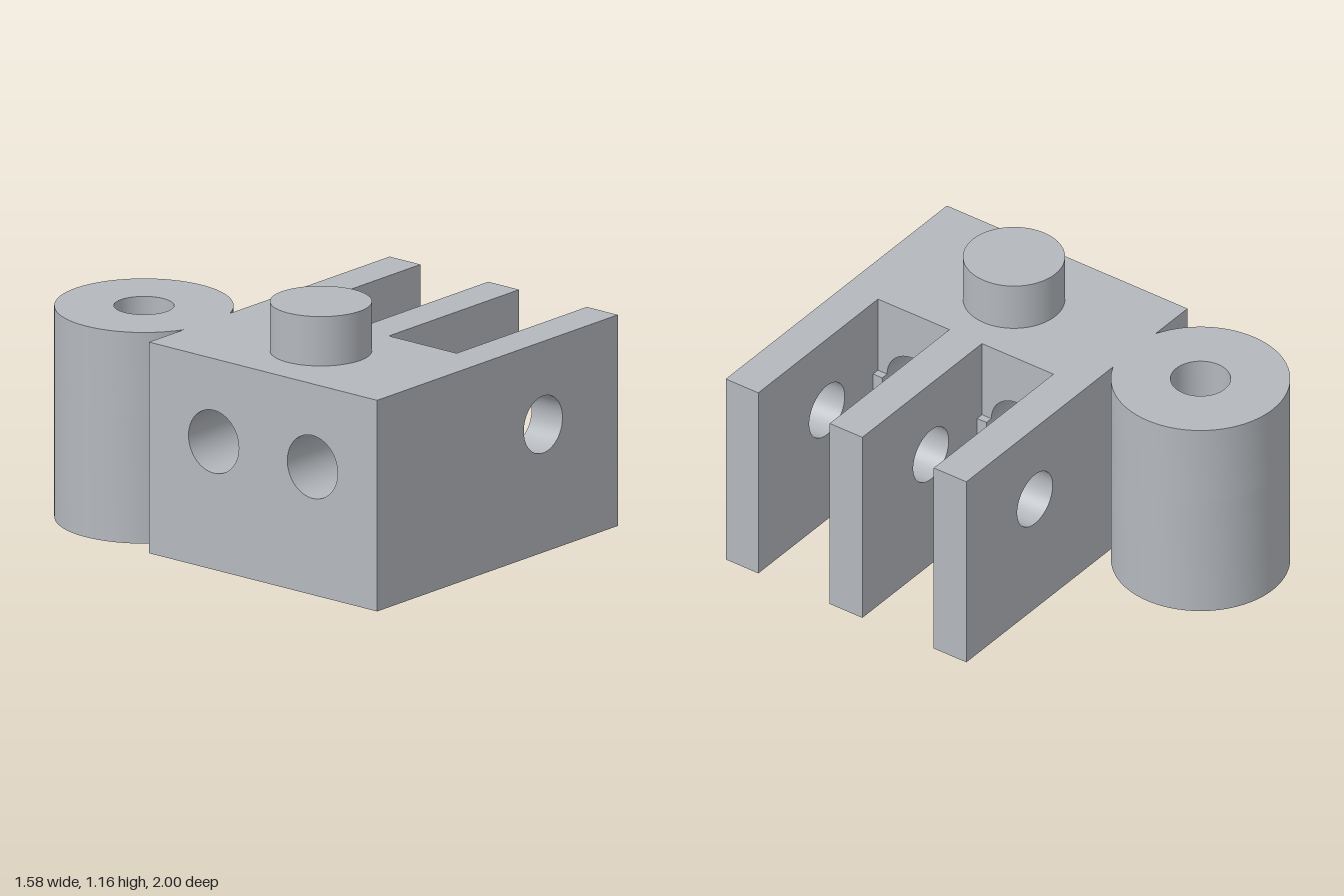
import * as THREE from 'three';
import { toCreasedNormals } from 'three/addons/utils/BufferGeometryUtils.js';

const H = 0.94, HOLE_Y = 0.57;
const BACK = -0.27, FRONT = 1, LEFT = -0.79, RIGHT = 0.79;
const SLOT_X = -0.065, LEDGE_X = -0.03;
const FIN = 0.172;

function rect(a, b, y0, y1) {
  return new THREE.Shape([[a, y0], [b, y0], [b, y1], [a, y1]].map(p => new THREE.Vector2(...p)));
}

function addHole(shape, x, y, r) {
  shape.holes.push(new THREE.Path().absarc(x, y, r, 0, Math.PI * 2, true));
}

export function createModel() {
  const model = new THREE.Group();
  model.name = 'hingeBlock';
  const grey = new THREE.MeshStandardMaterial({ color: 0xb4b8bd });
  grey.name = 'grey';

  const add = (name, geometry) => {
    const mesh = new THREE.Mesh(geometry, grey);
    mesh.name = name;
    model.add(mesh);
    return mesh;
  };
  const extrude = (shape, depth) => toCreasedNormals(
    new THREE.ExtrudeGeometry(shape, { depth, bevelEnabled: false, curveSegments: 32 }), 0.5);
  // Profile in (-z, y), swept along +x from x0
  const alongX = (shape, x0, x1) => extrude(shape, x1 - x0).rotateY(Math.PI / 2).translate(x0, 0, 0);
  // Profile in (x, -z), swept upwards from y0
  const alongY = (shape, y0, y1) => extrude(shape, y1 - y0).rotateX(-Math.PI / 2).translate(0, y0, 0);

  // Solid spine with two cross holes
  const crossHoles = [0.09, 0.64], crossR = 0.14;
  const spine = rect(-FRONT, -BACK, 0, H);
  crossHoles.forEach(z => addHole(spine, -z, HOLE_Y, crossR));
  add('spine', alongX(spine, LEFT, SLOT_X));

  // Three fins sharing one pin hole
  [BACK, 0.279, FRONT - FIN].forEach((z, i) => {
    const fin = rect(SLOT_X, RIGHT, 0, H);
    addHole(fin, 0.3, HOLE_Y, 0.127);
    add('fin' + (i + 1), extrude(fin, FIN).translate(0, 0, z));
  });

  // Low ledges at the slot ends, notched by the cross holes
  crossHoles.forEach((z, i) => {
    const half = 0.189, u = -z;
    const ledge = new THREE.Shape();
    ledge.moveTo(u - half, 0);
    ledge.lineTo(u + half, 0);
    ledge.lineTo(u + half, HOLE_Y);
    ledge.lineTo(u + crossR, HOLE_Y);
    ledge.absarc(u, HOLE_Y, crossR, 0, -Math.PI, true);
    ledge.lineTo(u - half, HOLE_Y);
    add('ledge' + (i + 1), alongX(ledge, SLOT_X, LEDGE_X));
  });

  // Barrel flattened where it meets the block: wide bore below, narrow bore above
  const bx = -0.41, bz = -0.62, br = 0.381;
  const cut = Math.acos((BACK - bz) / br);
  const barrel = (name, bore, y0, y1) => {
    const s = new THREE.Shape();
    s.absarc(bx, -bz, br, -Math.PI / 2 + cut, Math.PI * 1.5 - cut, false);
    addHole(s, bx, -bz, bore);
    add(name, alongY(s, y0, y1));
  };
  barrel('barrelLower', 0.24, 0, HOLE_Y);
  barrel('barrelUpper', 0.128, HOLE_Y, H);

  // Peg on top
  add('peg', new THREE.CylinderGeometry(0.217, 0.217, 0.22, 64)).position.set(bx, H + 0.11, 0.365);

  return model;
}
